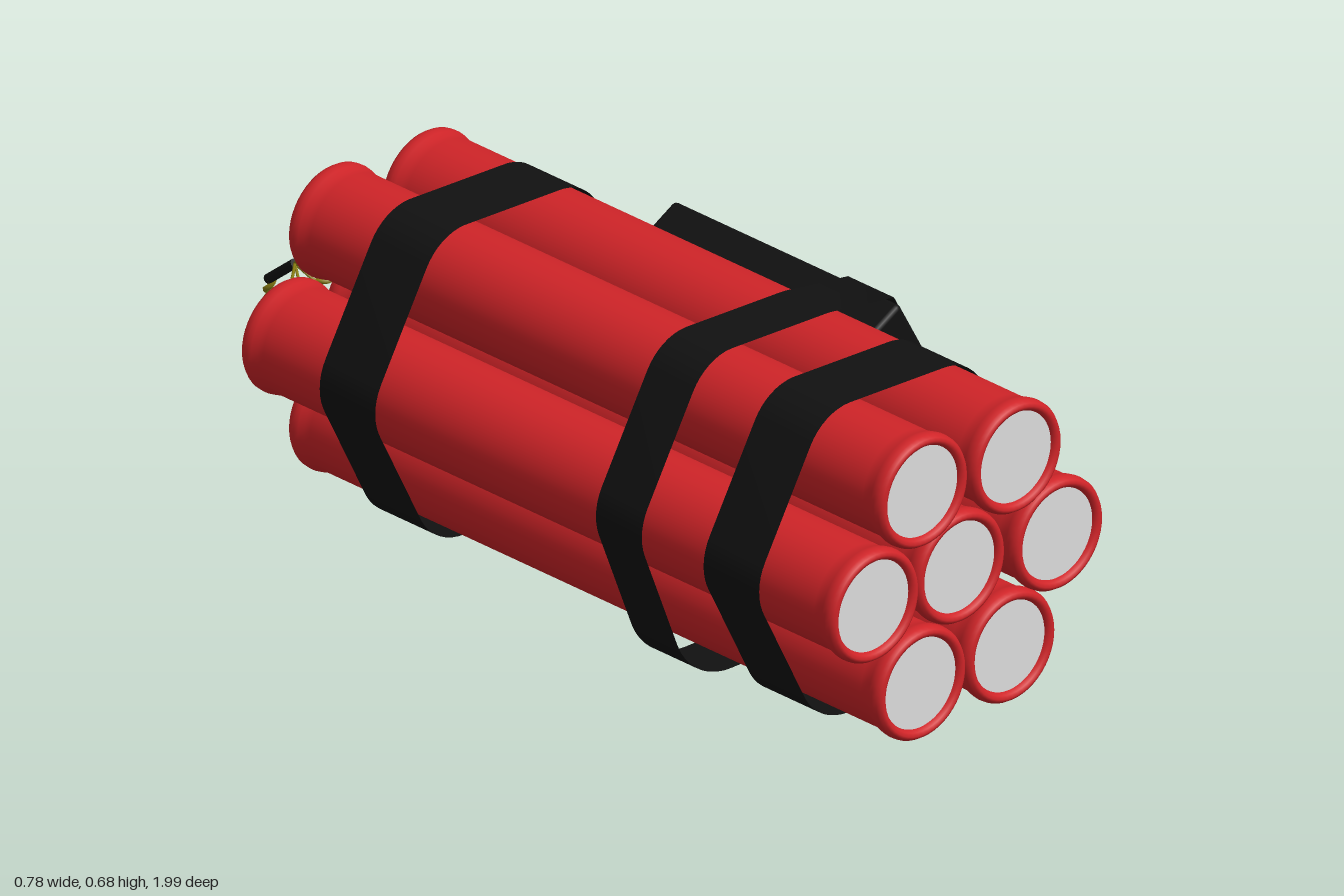
import * as THREE from 'three';
import { RoundedBoxGeometry } from 'three/addons/geometries/RoundedBoxGeometry.js';

const mat = (name, color, side = THREE.FrontSide) => {
  const m = new THREE.MeshStandardMaterial({ color, side });
  m.name = name;
  return m;
};

// Convex outline of a set of 2D points (counter-clockwise)
function hull(points) {
  const pts = [...points].sort((a, b) => a.x - b.x || a.y - b.y);
  const half = (list) => {
    const out = [];
    for (const p of list) {
      while (out.length > 1) {
        const a = out[out.length - 2], b = out[out.length - 1];
        if ((b.x - a.x) * (p.y - a.y) - (b.y - a.y) * (p.x - a.x) > 0) break;
        out.pop();
      }
      out.push(p);
    }
    out.pop();
    return out;
  };
  return [...half(pts), ...half(pts.reverse())];
}

// Thin closed ribbon following an outline from z0 to z1
function ribbon(outline, z0, z1) {
  const pos = [], idx = [], n = outline.length;
  outline.forEach((p) => pos.push(p.x, p.y, z0, p.x, p.y, z1));
  for (let i = 0; i < n; i++) {
    const a = 2 * i, b = 2 * ((i + 1) % n);
    idx.push(a, b, b + 1, a, b + 1, a + 1);
  }
  const g = new THREE.BufferGeometry();
  g.setAttribute('position', new THREE.Float32BufferAttribute(pos, 3));
  g.setIndex(idx);
  g.computeVertexNormals();
  return g;
}

export function createModel() {
  const model = new THREE.Group();
  model.name = 'stickBundle';
  const red = mat('redCasing', 0xd02428);
  const grey = mat('lightGrey', 0xdcdcdc);
  const black = mat('black', 0x111111);
  const tape = mat('blackTape', 0x111111, THREE.DoubleSide);
  const olive = mat('oliveFuse', 0x8a7f12);

  const add = (name, geo, material, parent = model) => {
    const m = new THREE.Mesh(geo, material);
    m.name = name;
    parent.add(m);
    return m;
  };

  // Sticks: x, y, back z, front z
  const sticks = [
    [-0.15, 0.567, -0.67, 0.99], [0.098, 0.557, -0.67, 0.99],
    [-0.27, 0.359, -0.675, 0.98], [-0.033, 0.359, -0.69, 0.97], [0.203, 0.359, -0.66, 0.995],
    [-0.15, 0.155, -0.67, 0.985], [0.086, 0.155, -0.67, 0.985],
  ];
  // Rolled rim section: radius, distance in from the end
  const rim = [[0.111, 0.06], [0.112, 0.045], [0.116, 0.032], [0.118, 0.022], [0.117, 0.011],
    [0.112, 0.003], [0.106, 0], [0.099, 0.003], [0.095, 0.01], [0.093, 0.02]];
  const clampStart = new THREE.Vector3(-0.025, 0.345, -0.9);
  const clampEnd = new THREE.Vector3(-0.025, 0.285, -0.975);

  sticks.forEach(([x, y, z0, z1]) => {
    const g = new THREE.Group();
    g.name = 'stick';
    g.position.set(x, y, (z0 + z1) / 2);
    model.add(g);
    const h = (z1 - z0) / 2;
    const profile = [
      ...[...rim].reverse().map(([r, d]) => new THREE.Vector2(r, -h + d)),
      ...rim.map(([r, d]) => new THREE.Vector2(r, h - d)),
    ];
    add('casing', new THREE.LatheGeometry(profile, 48), red, g).rotation.x = Math.PI / 2;
    for (const s of [1, -1]) {
      const cap = add('endCap', new THREE.CircleGeometry(0.0945, 48), grey, g);
      cap.position.z = s * (h - 0.012);
      if (s < 0) cap.rotation.y = Math.PI;
    }
    // Thin wire from the back cap to the clamp
    const at = (t, z) => new THREE.Vector3(
      THREE.MathUtils.lerp(x, clampStart.x, t), THREE.MathUtils.lerp(y, clampStart.y, t), z);
    const path = new THREE.CatmullRomCurve3([at(0, z0 + 0.01), at(0.06, -0.715), at(0.4, -0.78), at(0.75, -0.845), clampStart]);
    add('wire', new THREE.TubeGeometry(path, 24, 0.0032, 6), olive);
  });

  // Clamp gathering the wires
  const axis = clampEnd.clone().sub(clampStart);
  const clamp = add('wireClamp', new THREE.CylinderGeometry(0.01, 0.01, axis.length(), 12), black);
  clamp.position.copy(clampStart).addScaledVector(axis, 0.5);
  clamp.quaternion.setFromUnitVectors(new THREE.Vector3(0, 1, 0), axis.clone().normalize());

  // Main fuse: two strands twisted along one path
  const fusePath = new THREE.CatmullRomCurve3([
    [-0.025, 0.29, -0.965], [-0.01, 0.24, -0.988], [0.08, 0.245, -0.955], [0.165, 0.32, -0.875],
    [0.205, 0.44, -0.78], [0.213, 0.508, -0.69], [0.218, 0.52, -0.6], [0.218, 0.512, -0.45],
    [0.222, 0.515, -0.31], [0.26, 0.525, -0.23], [0.29, 0.53, -0.15],
  ].map((p) => new THREE.Vector3(...p)));
  const steps = 160;
  const frames = fusePath.computeFrenetFrames(steps);
  for (const phase of [0, Math.PI]) {
    const strand = [];
    for (let i = 0; i <= steps; i++) {
      const a = phase + i * 0.8;
      strand.push(fusePath.getPointAt(i / steps)
        .addScaledVector(frames.normals[i], 0.005 * Math.cos(a))
        .addScaledVector(frames.binormals[i], 0.005 * Math.sin(a)));
    }
    add('fuseStrand', new THREE.TubeGeometry(new THREE.CatmullRomCurve3(strand), 320, 0.0055, 6), olive);
  }

  // Timer box with three dials on its outer face
  const timer = new THREE.Group();
  timer.name = 'timer';
  timer.position.set(0.294, 0.527, 0.155);
  timer.rotation.z = 0.507;
  model.add(timer);
  add('timerBox', new RoundedBoxGeometry(0.082, 0.22, 0.63, 2, 0.01), black, timer);
  for (const z of [0, 0.18, 0.36]) {
    const dial = add('dial', new THREE.CylinderGeometry(0.066, 0.066, 0.006, 40), grey, timer);
    dial.rotation.z = -Math.PI / 2;
    dial.scale.x = 1.1;
    dial.position.set(0.041, 0.004, z - 0.155);
  }

  // Tape straps; the middle one also wraps the timer
  timer.updateMatrix();
  const corners = [[1, 1], [1, -1], [-1, 1], [-1, -1]].map(([a, b]) => {
    const v = new THREE.Vector3(a * 0.047, b * 0.112, 0).applyMatrix4(timer.matrix);
    return new THREE.Vector2(v.x, v.y);
  });
  const straps = [
    { z: [0.62, 0.775], low: 0.132, extra: [] },
    { z: [-0.45, -0.295], low: 0.132, extra: [] },
    { z: [0.32, 0.448], low: 0.154, extra: corners },
  ];
  for (const { z, low, extra } of straps) {
    const pts = [...extra];
    for (const [x, y] of sticks) {
      const r = y < 0.2 ? low : 0.117;
      for (let i = 0; i < 48; i++) {
        const a = (i / 48) * Math.PI * 2;
        pts.push(new THREE.Vector2(x + r * Math.cos(a), y + r * Math.sin(a)));
      }
    }
    add('tapeStrap', ribbon(hull(pts), z[0], z[1]), tape);
  }
  return model;
}
